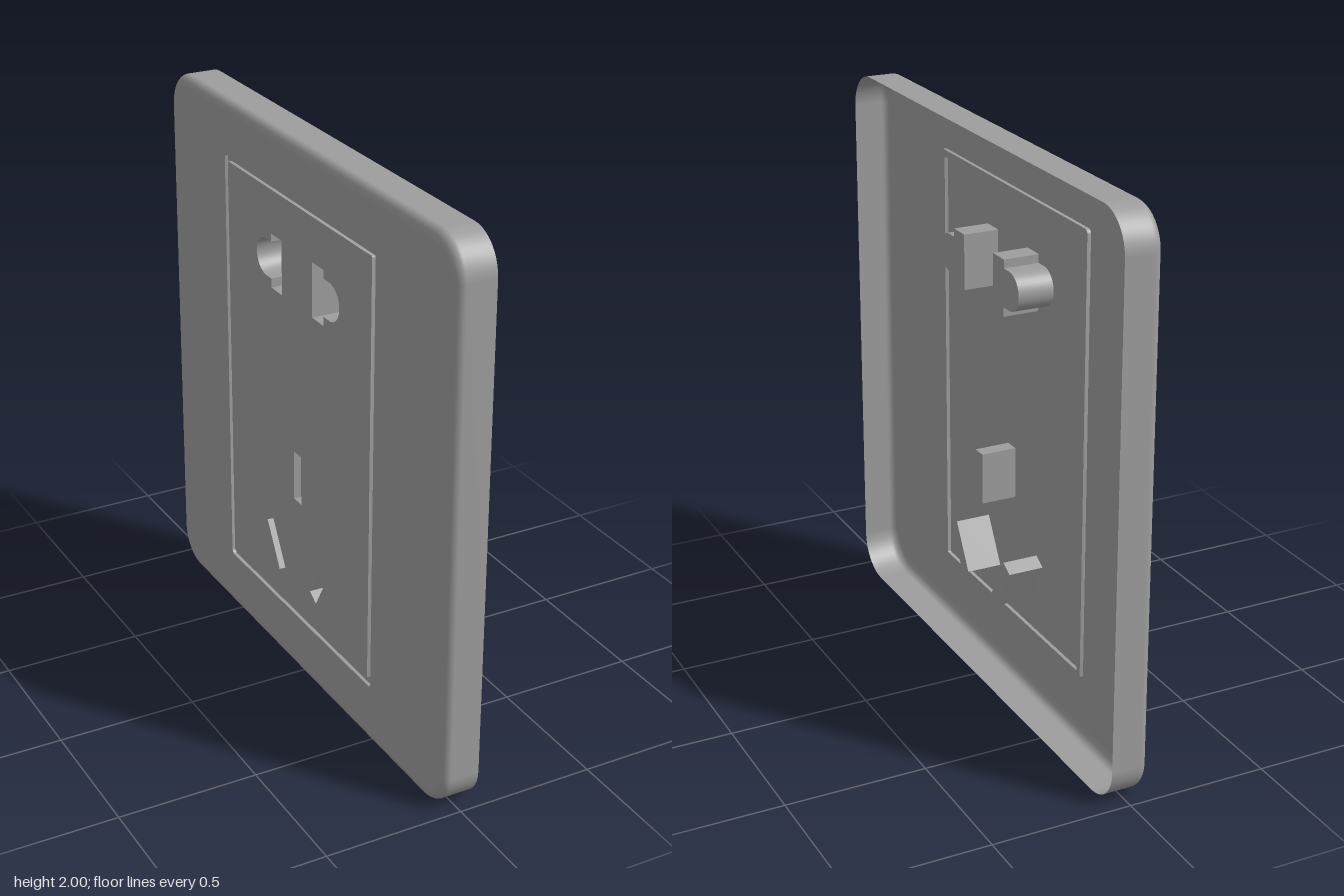
import * as THREE from 'three';
import { toCreasedNormals } from 'three/addons/utils/BufferGeometryUtils.js';

const FACE = 0.0675;           // height of the outer face (local z)
const BACK = -0.0675;          // open back edge
const POCKET = -0.06;          // floor of the plug pockets
const GROOVE = FACE - 0.013;   // floor of the frame groove
const MID = -0.0135;           // symmetry line of the sockets

const material = new THREE.MeshStandardMaterial({ color: 0x9d9d9d, side: THREE.DoubleSide });

// counter-clockwise rounded rectangle as points
function roundedRect(cx, cy, hw, hh, r, steps) {
  const pts = [];
  const corners = [[1, 1], [-1, 1], [-1, -1], [1, -1]];
  corners.forEach(([sx, sy], k) => {
    for (let i = 0; i <= steps; i++) {
      const a = (k + i / steps) * Math.PI / 2;
      pts.push(new THREE.Vector2(
        cx + sx * (hw - r) + r * Math.cos(a), cy + sy * (hh - r) + r * Math.sin(a)));
    }
  });
  return pts;
}

// skin through closed rings; each ring is { pts, z }
function loft(rings, crease) {
  const pos = [], idx = [], n = rings[0].pts.length;
  rings.forEach(({ pts, z }) => pts.forEach((p) => pos.push(p.x, p.y, z)));
  for (let j = 0; j < rings.length - 1; j++) {
    for (let i = 0; i < n; i++) {
      const a = j * n + i, b = j * n + (i + 1) % n;
      idx.push(a, a + n, b, b, a + n, b + n);
    }
  }
  const g = new THREE.BufferGeometry();
  g.setAttribute('position', new THREE.Float32BufferAttribute(pos, 3));
  g.setIndex(idx);
  g.computeVertexNormals();
  return crease ? toCreasedNormals(g, crease) : g;
}

// flat sheet with holes
function sheet(pts, holes, z) {
  const shape = new THREE.Shape(pts);
  holes.forEach((h) => shape.holes.push(new THREE.Path(h)));
  return new THREE.ShapeGeometry(shape).translate(0, 0, z);
}

// straight slot, turned about its centre
function slot(cx, cy, angle) {
  const c = new THREE.Vector2(cx, cy);
  return [[1, 1], [-1, 1], [-1, -1], [1, -1]].map(([sx, sy]) =>
    new THREE.Vector2(cx + sx * 0.0265, cy + sy * 0.0925).rotateAround(c, angle));
}

// blade slot with a round pin lobe on its outer side
function bladeAndPin(side) {
  const pts = [[0.109, 1.43], [0.187, 1.43], [0.187, 1.463]];
  for (let i = 0; i <= 16; i++) {
    const a = -Math.PI / 2 + Math.PI * i / 16;
    pts.push([0.227 + 0.067 * Math.cos(a), 1.53 + 0.067 * Math.sin(a)]);
  }
  pts.push([0.187, 1.597], [0.187, 1.627], [0.109, 1.627]);
  const out = pts.map(([x, y]) => new THREE.Vector2(MID + side * x, y));
  return side > 0 ? out : out.reverse();
}

export function createModel() {
  const model = new THREE.Group();
  const plate = new THREE.Group();
  plate.name = 'wallSocket';
  plate.rotation.y = -Math.PI / 2;   // outer face towards -x
  model.add(plate);

  const add = (name, geometry, parent = plate) => {
    const mesh = new THREE.Mesh(geometry, material);
    mesh.name = name;
    parent.add(mesh);
  };

  // rim: rounded edge, then straight wall to the open back
  const edge = (inset) => roundedRect(0, 1, 0.993 - inset, 1 - inset, 0.135 - inset, 10);
  const rings = [{ pts: edge(0.045), z: FACE }];
  for (let i = 0; i <= 8; i++) {
    const a = (i / 8) * Math.PI / 2;
    rings.push({ pts: edge(0.04 * (1 - Math.sin(a))), z: FACE - 0.03 * (1 - Math.cos(a)) });
  }
  rings.push({ pts: edge(0), z: FACE - 0.04 }, { pts: edge(0), z: BACK });
  add('rim', loft(rings));

  // face around the frame, and the groove of the frame
  const outer = roundedRect(-0.018, 1.015, 0.53, 0.795, 0.015, 4);
  const inner = roundedRect(-0.018, 1.015, 0.507, 0.77, 0.005, 4);
  add('face', sheet(edge(0.045), [outer], FACE));
  add('frameGroove', loft([
    { pts: outer, z: FACE }, { pts: outer, z: GROOVE },
    { pts: inner, z: GROOVE }, { pts: inner, z: FACE },
  ], 0.6));

  // centre panel with its plug pockets
  const pockets = {
    upperLeftPocket: bladeAndPin(1),
    upperRightPocket: bladeAndPin(-1),
    earthPocket: slot(MID, 0.782, 0),
    lowerLeftPocket: slot(MID + 0.158, 0.44, -Math.PI / 6),
    lowerRightPocket: slot(MID - 0.166, 0.44, Math.PI / 6),
  };
  add('centrePanel', sheet(inner, Object.values(pockets), FACE));
  for (const [name, pts] of Object.entries(pockets)) {
    const pocket = new THREE.Group();
    pocket.name = name;
    plate.add(pocket);
    add('pocketWall', loft([{ pts, z: FACE }, { pts, z: POCKET }], 0.6), pocket);
    add('pocketFloor', sheet(pts, [], POCKET), pocket);
  }
  return model;
}
